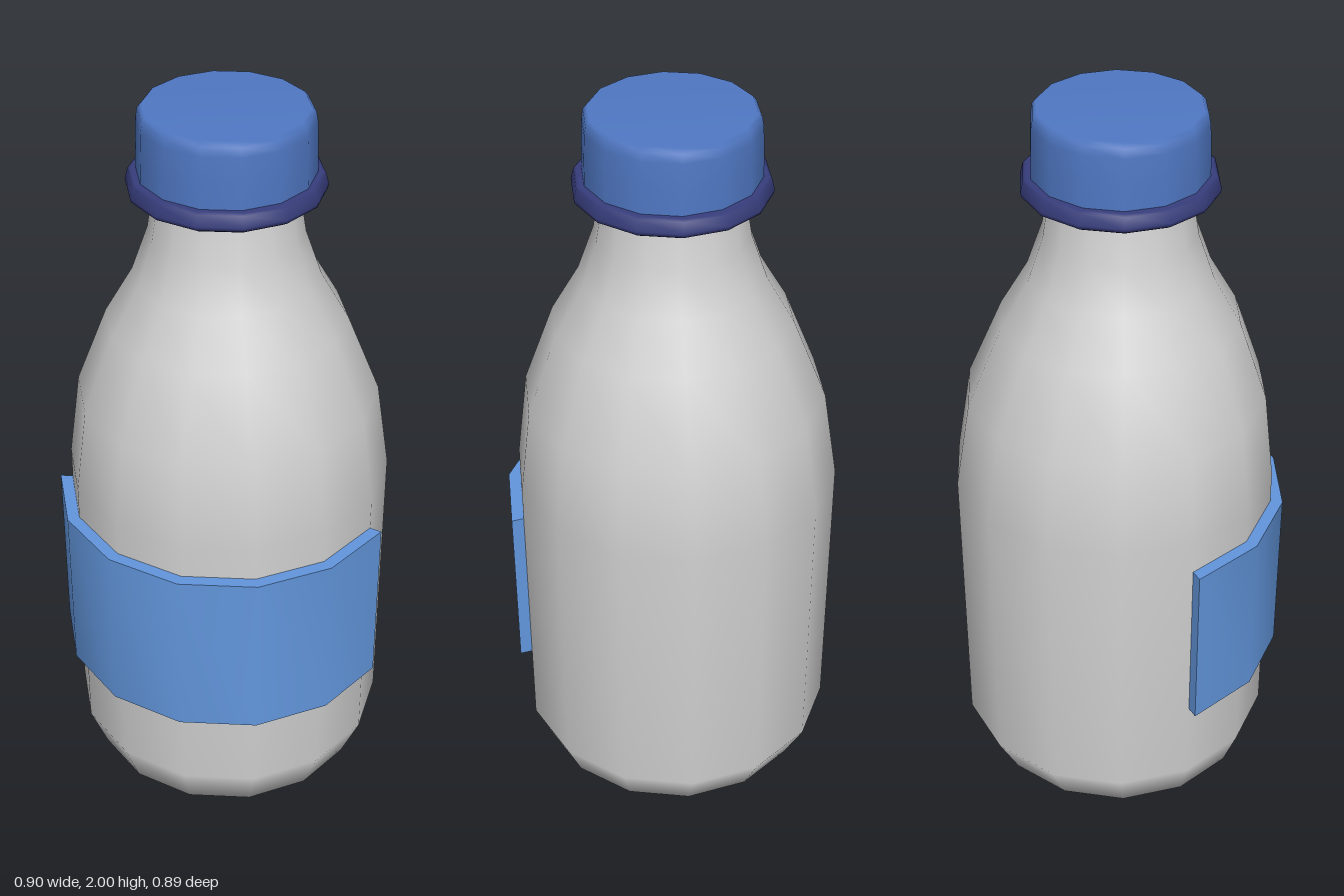
import * as THREE from 'three';
import { toCreasedNormals } from 'three/addons/utils/BufferGeometryUtils.js';

const SIDES = 14;
const BODY_Z = -0.018; // the wide part of the bottle sits slightly back

const material = (name, color, extra = {}) => {
  const m = new THREE.MeshStandardMaterial({ color, ...extra });
  m.name = name;
  return m;
};

// Turned part from [radius, height] points listed bottom to top
const turned = (points) =>
  new THREE.LatheGeometry(points.map(([r, y]) => new THREE.Vector2(r, y)), SIDES);

// Wrapped label: a thick band over the front six facets of the bottle
function labelGeometry(inner, outer, bottom, top) {
  const points = [];
  for (let i = -3; i <= 3; i++) {
    const a = (i / SIDES) * Math.PI * 2;
    points.push(new THREE.Vector2(outer * Math.sin(a), -outer * Math.cos(a)));
  }
  for (let i = 3; i >= -3; i--) {
    const a = (i / SIDES) * Math.PI * 2;
    points.push(new THREE.Vector2(inner * Math.sin(a), -inner * Math.cos(a)));
  }
  const geometry = new THREE.ExtrudeGeometry(new THREE.Shape(points), {
    depth: top - bottom, bevelEnabled: false,
  });
  geometry.rotateX(-Math.PI / 2).translate(0, bottom, BODY_Z);
  return toCreasedNormals(geometry, 0.6);
}

export function createModel() {
  const group = new THREE.Group();
  group.name = 'bottle';

  const add = (name, geometry, mat) => {
    const mesh = new THREE.Mesh(geometry, mat);
    mesh.name = name;
    group.add(mesh);
  };

  // Bottle body, shoulder and neck
  const body = turned([
    [0, 0], [0.25, 0.003], [0.38, 0.05], [0.43, 0.165], [0.43, 0.97], [0.396, 1.21],
    [0.312, 1.425], [0.24, 1.55], [0.198, 1.67], [0.177, 1.8],
  ]);
  // Ease the backward offset in from the base and out towards the neck
  const pos = body.attributes.position;
  for (let i = 0; i < pos.count; i++) {
    const y = pos.getY(i);
    const ease = Math.min(1, y / 0.1, Math.max(0, (1.45 - y) / 0.4));
    pos.setZ(i, pos.getZ(i) + BODY_Z * ease);
  }
  add('bottleBody', body, material('pale grey', 0xd0d0d0));

  // Label on the front
  add('label', labelGeometry(0.425, 0.463, 0.4, 0.88), material('light blue', 0x6296dc));

  // Collar ring below the cap
  const collar = turned([
    [0.165, 1.785], [0.235, 1.782], [0.248, 1.79], [0.25, 1.8], [0.243, 1.828], [0.235, 1.833], [0.2, 1.833],
  ]);
  add('collarRing', collar, material('dark navy', 0x373d7c));

  // Screw cap
  const cap = turned([
    [0.223, 1.825], [0.222, 1.9], [0.219, 1.965], [0.215, 1.988], [0.205, 2], [0, 2],
  ]);
  add('cap', cap, material('blue', 0x5078c4));

  return group;
}
